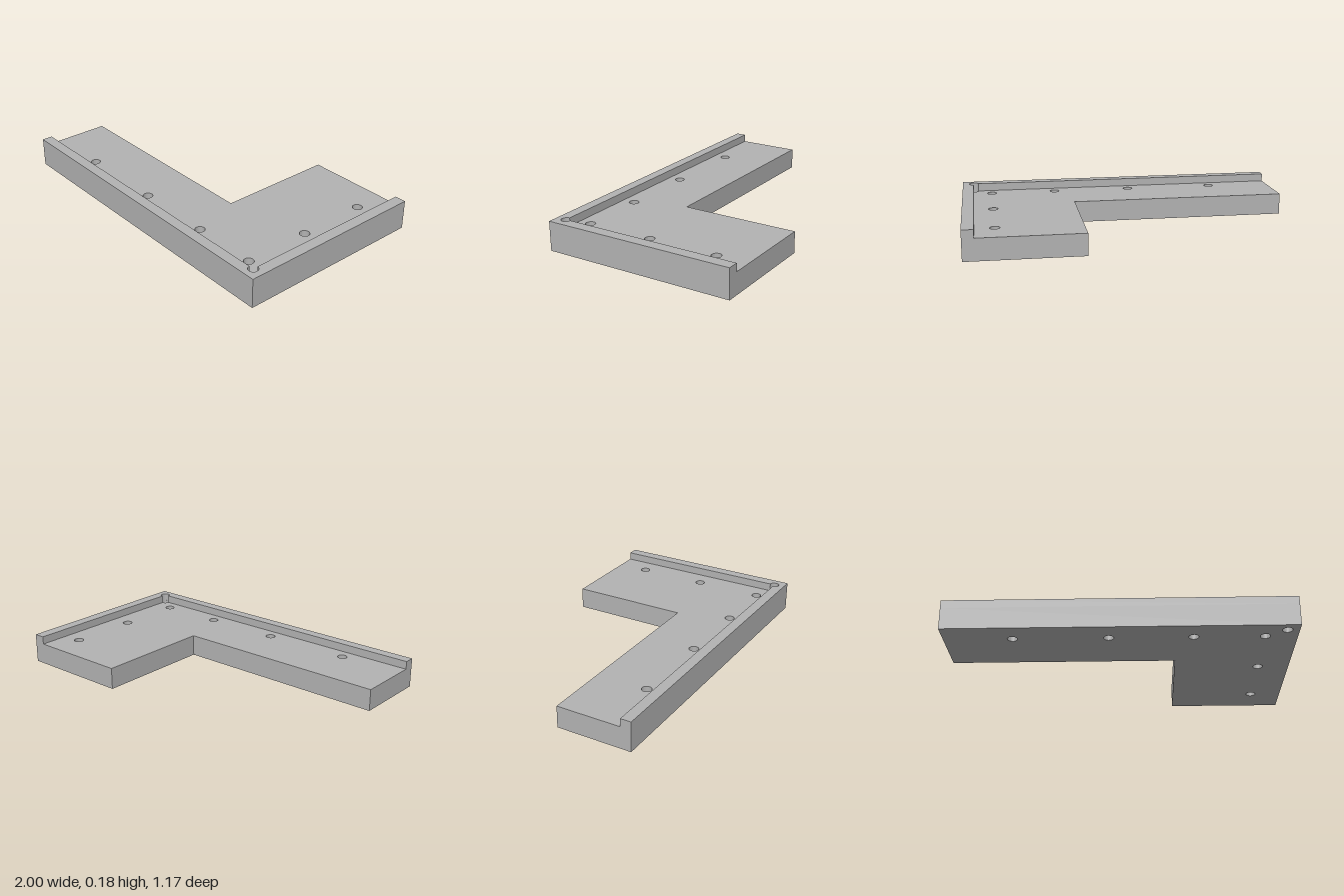
import * as THREE from 'three';
import { toCreasedNormals } from 'three/addons/utils/BufferGeometryUtils.js';

const BASE = 0.13, HEIGHT = 0.178; // plate thickness, total height
const HALF_Z = 0.586, LIP_X = 0.932, LIP_Z = 0.522, R = 0.029;

// Extrude a plan outline (x, -z) upwards from y
function slab(name, shape, y, height, material) {
  let geometry = new THREE.ExtrudeGeometry(shape, { depth: height, bevelEnabled: false, curveSegments: 24 });
  geometry.rotateX(-Math.PI / 2);
  geometry = toCreasedNormals(geometry, 0.6);
  const mesh = new THREE.Mesh(geometry, material);
  mesh.name = name;
  mesh.position.y = y;
  return mesh;
}

export function createModel() {
  const group = new THREE.Group();
  group.name = 'cornerBracket';
  const grey = new THREE.MeshStandardMaterial({ color: 0xb2b2b2 });
  grey.name = 'grey';

  // L-shaped plate with screw holes and a corner relief hole
  const plate = new THREE.Shape([
    [-1, -HALF_Z], [1, -HALF_Z], [1, HALF_Z], [0.317, HALF_Z], [0.317, -0.134], [-1, -0.134],
  ].map(([x, y]) => new THREE.Vector2(x, y)));
  const holes = [
    [-0.607, 0.447], [-0.063, 0.447], [0.416, 0.447], [0.817, 0.447],
    [0.817, 0.035], [0.817, -0.393], [LIP_X, LIP_Z],
  ];
  for (const [x, z] of holes) {
    plate.holes.push(new THREE.Path().absarc(x, -z, R, 0, Math.PI * 2, true));
  }
  group.add(slab('plate', plate, 0, BASE, grey));

  // Raised lip along the two outer edges, relieved at the inner corner
  const lip = new THREE.Shape();
  lip.moveTo(-1, -HALF_Z);
  lip.lineTo(1, -HALF_Z);
  lip.lineTo(1, HALF_Z);
  lip.lineTo(LIP_X, HALF_Z);
  lip.lineTo(LIP_X, -LIP_Z + R);
  lip.absarc(LIP_X, -LIP_Z, R, Math.PI / 2, -Math.PI, true);
  lip.lineTo(-1, -LIP_Z);
  lip.closePath();
  group.add(slab('lip', lip, BASE, HEIGHT - BASE, grey));

  return group;
}
